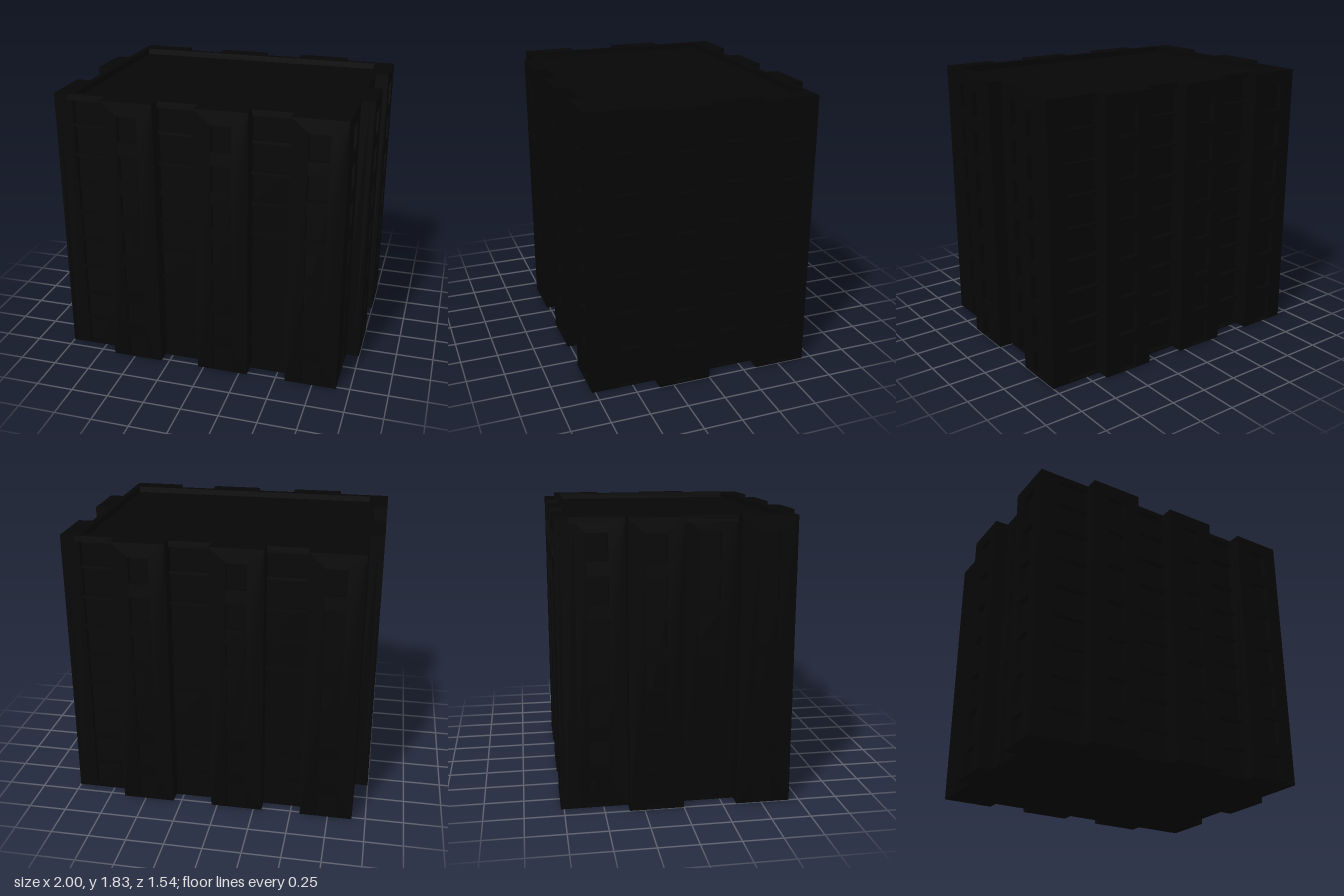
import * as THREE from 'three';

const H = 1.83;          // total height
const HX = 0.91, HZ = 0.685; // main wall half sizes
const D = 0.035;         // depth of window and bay recesses
const mat = new THREE.MeshStandardMaterial({ color: 0x060606, flatShading: true });

function add(parent, name, geometry) {
  const mesh = new THREE.Mesh(geometry, mat);
  mesh.name = name;
  parent.add(mesh);
  return mesh;
}

// Box given by its limits
function box(parent, name, x0, x1, y0, y1, z0, z1) {
  const mesh = add(parent, name, new THREE.BoxGeometry(x1 - x0, y1 - y0, z1 - z0));
  mesh.position.set((x0 + x1) / 2, (y0 + y1) / 2, (z0 + z1) / 2);
}

function rect(Type, x0, x1, y0, y1) {
  const p = new Type();
  p.moveTo(x0, y0);
  p.lineTo(x1, y0);
  p.lineTo(x1, y1);
  p.lineTo(x0, y1);
  p.closePath();
  return p;
}

// Wall strip facing +z with one column of seven recessed windows
function windowStrip(parent, name, x0, x1, face, base) {
  const shape = rect(THREE.Shape, x0, x1, 0, H);
  const c = (x0 + x1) / 2;
  for (let i = 0; i < 7; i++) {
    const y = 0.005 + i * 0.26;
    shape.holes.push(rect(THREE.Path, c - 0.066, c + 0.066, y, y + 0.17));
  }
  const geo = new THREE.ExtrudeGeometry(shape, { depth: D, bevelEnabled: false });
  geo.translate(0, 0, face - D);
  add(parent, name, geo);
  // Solid pier behind a projecting strip
  if (face > base) box(parent, name + 'Pier', x0, x1, 0, H, base - D, face - D);
}

// Open bay divided by thin floor slabs
function slabBay(parent, x0, x1) {
  for (let i = 0; i < 9; i++) {
    const y = i * H / 9;
    box(parent, 'baySlab', x0, x1, Math.max(0, y - 0.01), y + 0.01, HZ - D, HZ);
  }
}

// Long facade and the adjoining short facade; the other half is a half-turn copy
function halfFacade() {
  const half = new THREE.Group();
  const long = new THREE.Group();
  long.name = 'longFacade';
  for (const x of [-0.65, -0.04, 0.565]) windowStrip(long, 'projectingWall', x, x + 0.345, 0.77, HZ);
  for (const [a, b] of [[-HX, -0.65], [-0.305, -0.04], [0.305, 0.565]]) slabBay(long, a, b);

  const short = new THREE.Group();
  short.name = 'shortFacade';
  short.rotation.y = Math.PI / 2;
  windowStrip(short, 'projectingWall', 0.34, HZ, 1, HX);
  windowStrip(short, 'recessedWall', 0, 0.34, HX, HX);
  windowStrip(short, 'projectingWall', -0.345, 0, 1, HX);
  windowStrip(short, 'recessedWall', -HZ, -0.345, HX, HX);
  half.add(long, short);
  return half;
}

export function createModel() {
  const model = new THREE.Group();
  model.name = 'apartmentBlock';

  // Core with sunken flat roof
  box(model, 'coreAndRoof', -HX + D, HX - D, 0, H - 0.04, -HZ + D, HZ - D);

  // Parapet ring around the roof
  const ring = rect(THREE.Shape, -HX, HX, -HZ, HZ);
  ring.holes.push(rect(THREE.Path, -HX + 0.04, HX - 0.04, -HZ + 0.04, HZ - 0.04));
  const parapet = new THREE.ExtrudeGeometry(ring, { depth: 0.04, bevelEnabled: false });
  parapet.rotateX(-Math.PI / 2);
  parapet.translate(0, H - 0.04, 0);
  add(model, 'parapet', parapet);

  // Both halves of the building
  for (let i = 0; i < 2; i++) {
    const half = halfFacade();
    half.name = i ? 'backHalf' : 'frontHalf';
    half.rotation.y = i * Math.PI;
    model.add(half);
  }
  return model;
}
